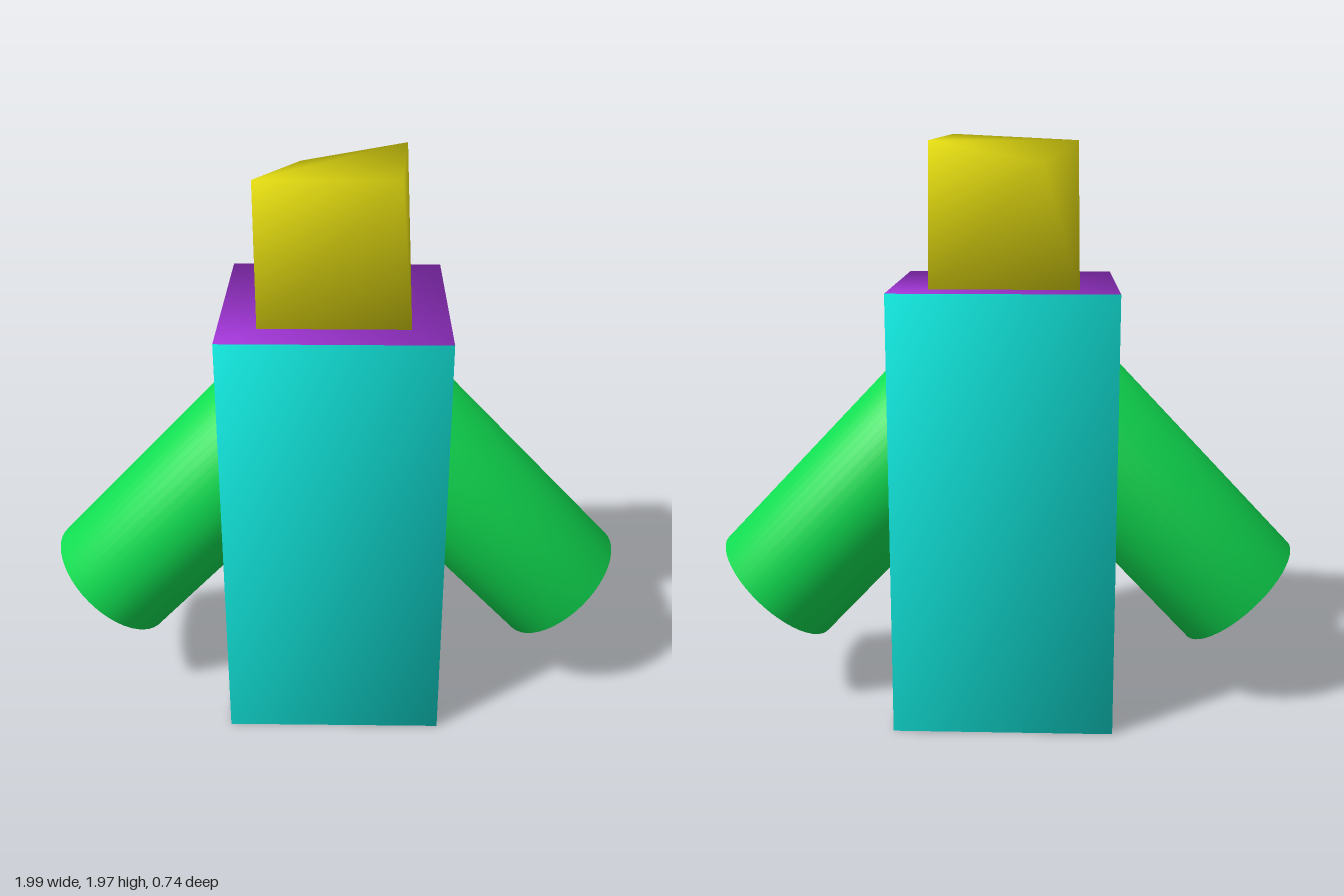
import * as THREE from 'three';
import { mergeVertices } from 'three/addons/utils/BufferGeometryUtils.js';

const paint = (name, color) => {
  const m = new THREE.MeshStandardMaterial({ color });
  m.name = name;
  return m;
};

// Share corner vertices so the shading runs smoothly over every edge.
function weld(geometry) {
  geometry.deleteAttribute('normal');
  geometry.deleteAttribute('uv');
  const welded = mergeVertices(geometry, 1e-4);
  welded.computeVertexNormals();
  return welded;
}

export function createModel() {
  const model = new THREE.Group();
  const cyan = paint('cyan', 0x10e0d6);
  const red = paint('red', 0xc80e0e);
  const purple = paint('purple', 0xa838e0);
  const green = paint('green', 0x10e052);
  const yellow = paint('yellow', 0xe0d810);

  const add = (name, geometry, material) => {
    const mesh = new THREE.Mesh(geometry, material);
    mesh.name = name;
    model.add(mesh);
    return mesh;
  };

  // Body: upright block, one colour for each pair of opposite faces
  const body = new THREE.BoxGeometry(0.735, 1.475, 0.735);
  add('body', weld(body), [red, red, purple, purple, cyan, cyan]).position.y = 0.7375;

  // Head: box with its four top corners pulled out of square
  const head = new THREE.BoxGeometry(0.486, 0.49, 0.486);
  head.translate(0, 1.715, 0);
  const topCorners = {
    frontRight: [-0.245, 1.945, 0.24],
    frontLeft: [0.2, 1.968, 0.322],
    backLeft: [0.236, 1.94, -0.248],
    backRight: [-0.12, 1.872, -0.268],
  };
  const p = head.attributes.position;
  for (let i = 0; i < p.count; i++) {
    if (p.getY(i) < 1.7) continue;
    const corner = (p.getZ(i) > 0 ? 'front' : 'back') + (p.getX(i) > 0 ? 'Left' : 'Right');
    p.setXYZ(i, ...topCorners[corner]);
  }
  add('head', weld(head), yellow);

  // Arms: cylinders slanting down and out from inside the body
  const armGeometry = weld(new THREE.CylinderGeometry(0.245, 0.245, 1, 48));
  for (const side of [1, -1]) {
    const arm = add(side > 0 ? 'leftArm' : 'rightArm', armGeometry, green);
    arm.position.set(side * 0.475, 0.75, 0);
    arm.rotation.z = side * 0.759;
  }

  return model;
}
